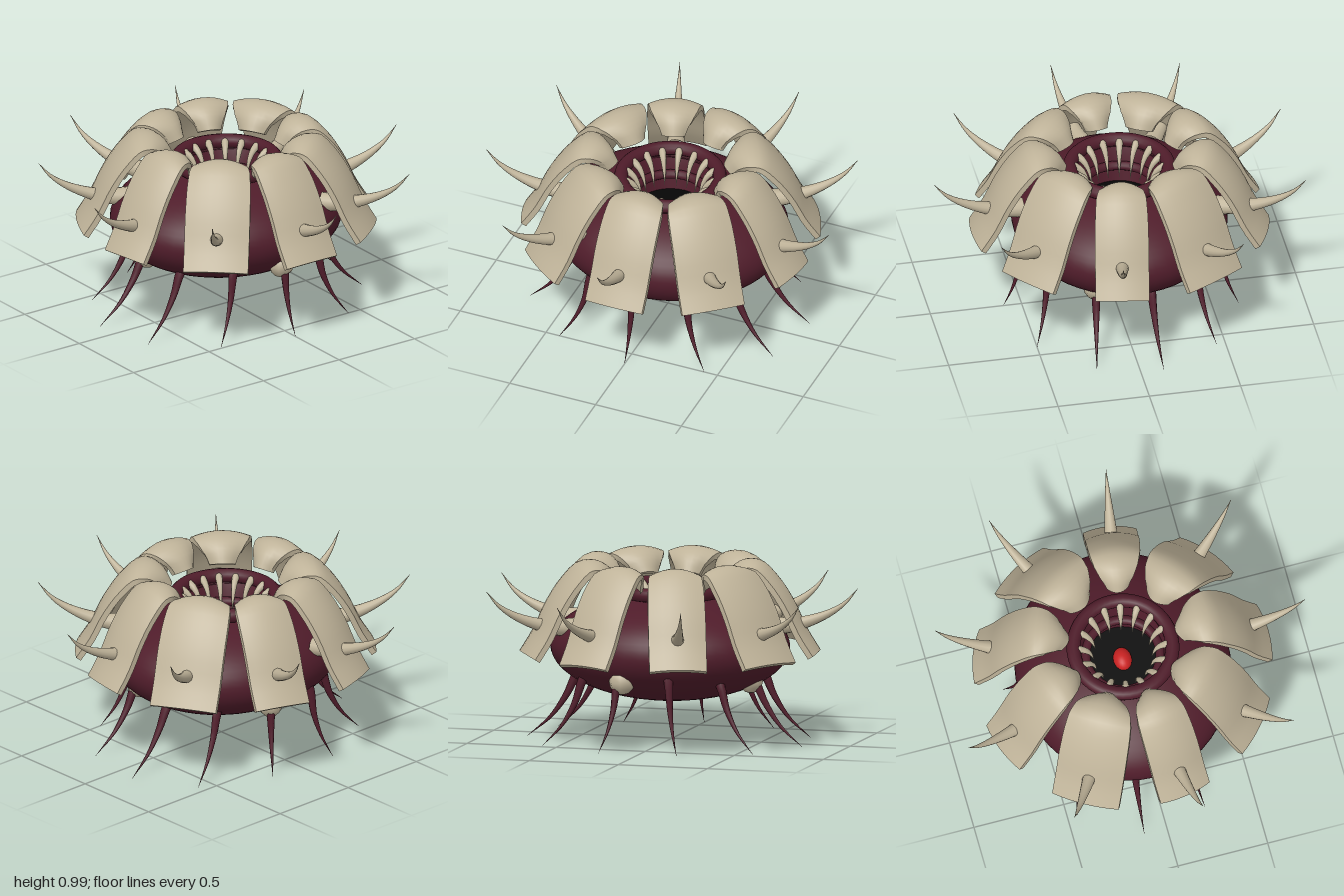
import * as THREE from 'three';
import { toCreasedNormals } from 'three/addons/utils/BufferGeometryUtils.js';

const mat = (name, color, side = THREE.FrontSide) => {
  const m = new THREE.MeshStandardMaterial({ color, side });
  m.name = name;
  return m;
};

// Curved spike: a tube whose rings shrink towards the tip
function spike(points, radius, sides = 10, rings = 14) {
  const curve = new THREE.CatmullRomCurve3(points.map(([x, y]) => new THREE.Vector3(x, y, 0)));
  const geo = new THREE.TubeGeometry(curve, rings, radius, sides);
  const pos = geo.attributes.position;
  const p = new THREE.Vector3();
  for (let i = 0; i <= rings; i++) {
    const c = curve.getPointAt(i / rings);
    const k = Math.max(0.02, 1 - i / rings);
    for (let j = 0; j <= sides; j++) {
      const n = i * (sides + 1) + j;
      p.fromBufferAttribute(pos, n).sub(c).multiplyScalar(k).add(c);
      pos.setXYZ(n, p.x, p.y, p.z);
    }
  }
  return geo;
}

// Hooded armour plate: arched cross-sections swept along an outward-falling profile
function plateGeometry(halfWidth) {
  const profile = new THREE.CatmullRomCurve3([
    [0.29, 0.88], [0.33, 0.95], [0.40, 0.995], [0.49, 0.99], [0.585, 0.90], [0.67, 0.77], [0.74, 0.62], [0.81, 0.505],
  ].map(([x, y]) => new THREE.Vector3(x, y, 0)));
  const widths = [0.4, 0.6, 0.8, 0.92, 0.98, 1, 1, 1];
  const rows = 20, cols = 8, thick = 0.03, loop = 2 * (cols + 1);
  const verts = [], idx = [];
  for (let i = 0; i <= rows; i++) {
    const t = i / rows;
    const c = profile.getPoint(t), d = profile.getTangent(t);
    const f = t * 7, k = Math.min(6, Math.floor(f));
    const w = halfWidth * THREE.MathUtils.lerp(widths[k], widths[k + 1], f - k);
    const sag = THREE.MathUtils.lerp(0.04, 0.025, t);
    for (let j = 0; j < loop; j++) {
      const inner = j > cols;
      const u = (inner ? loop - 1 - j : j) / cols * 2 - 1;
      const off = -sag * u * u - (inner ? thick : 0);
      verts.push(c.x - d.y * off, c.y + d.x * off, u * w);
    }
  }
  for (let i = 0; i < rows; i++) {
    for (let j = 0; j < loop; j++) {
      const a = i * loop + j, b = i * loop + (j + 1) % loop;
      idx.push(a, b, a + loop, b, b + loop, a + loop);
    }
  }
  // End caps
  for (let j = 0; j < cols; j++) {
    const a = j, b = j + 1, c = loop - 1 - j, d = loop - 2 - j, e = rows * loop;
    idx.push(a, c, b, b, c, d, e + a, e + b, e + c, e + b, e + d, e + c);
  }
  const geo = new THREE.BufferGeometry();
  geo.setAttribute('position', new THREE.Float32BufferAttribute(verts, 3));
  geo.setIndex(idx);
  return toCreasedNormals(geo, 0.7);
}

export function createModel() {
  const flesh = mat('maroon flesh', 0x4f1c2a, THREE.DoubleSide);
  const bone = mat('pale bone', 0xbfb399);
  const dark = mat('black throat', 0x060606);
  const red = mat('red core', 0xca2222);

  const model = new THREE.Group();
  model.name = 'spinyCreature';
  const root = new THREE.Group();
  root.name = 'creature';
  root.position.x = -0.035;
  model.add(root);

  const add = (parent, name, geo, material, x = 0, y = 0, z = 0) => {
    const m = new THREE.Mesh(geo, material);
    m.name = name;
    m.position.set(x, y, z);
    parent.add(m);
    return m;
  };
  const spoke = (name, angle, x = 0, z = 0) => {
    const g = new THREE.Group();
    g.name = name;
    g.rotation.y = -angle;
    g.position.set(x, 0, z);
    root.add(g);
    return g;
  };

  // Squashed body, open at the mouth
  const body = add(root, 'body', new THREE.SphereGeometry(1, 48, 28, 0, Math.PI * 2, 0.41, Math.PI - 0.41), flesh, 0, 0.52, 0);
  body.scale.set(0.58, 0.29, 0.65);

  // Mouth: lips, fleshy throat wall, black floor and core
  const ring = (name, R, r, y) => {
    add(root, name, new THREE.TorusGeometry(R, r, 12, 48).rotateX(Math.PI / 2), flesh, 0, y, 0);
  };
  ring('outerLip', 0.266, 0.038, 0.825);
  ring('innerLip', 0.2, 0.025, 0.7);
  const wall = [[0.25, 0.79], [0.23, 0.74], [0.215, 0.68], [0.195, 0.6]];
  add(root, 'throatWall', new THREE.LatheGeometry(wall.map(p => new THREE.Vector2(...p)), 32), flesh);
  add(root, 'throatFloor', new THREE.CircleGeometry(0.2, 32).rotateX(-Math.PI / 2), dark, 0, 0.605, 0);
  add(root, 'core', new THREE.SphereGeometry(1, 20, 14), red, 0, 0.61, -0.01).scale.set(0.05, 0.05, 0.065);

  // Ring of teeth curving down into the mouth
  const toothGeo = spike([[0.235, 0.83], [0.207, 0.81], [0.178, 0.76], [0.155, 0.655]], 0.021, 8, 8);
  const toothRoot = new THREE.SphereGeometry(0.021, 8, 6);
  for (let i = 0; i < 16; i++) {
    const g = spoke('tooth', (i + 0.5) * Math.PI / 8);
    add(g, 'toothSpike', toothGeo, bone);
    add(g, 'toothRoot', toothRoot, bone, 0.235, 0.83, 0);
  }

  // Nine armour plates, each with an upturned horn
  const halfWidths = [0.165, 0.175, 0.145, 0.185, 0.155, 0.155, 0.185, 0.145, 0.175];
  const hornGeo = spike([[0.53, 0.635], [0.64, 0.64], [0.75, 0.665], [0.87, 0.715], [0.95, 0.77], [1.015, 0.845]], 0.053, 12, 18);
  halfWidths.forEach((w, i) => {
    const g = spoke('armour', i * Math.PI * 2 / 9);
    add(g, 'armourPlate', plateGeometry(w), bone);
    add(g, 'horn', hornGeo, bone);
  });

  // Eleven thin legs flaring outward; every third one grows from a bony knob
  const knobGeo = new THREE.SphereGeometry(0.07, 8, 6);
  for (let i = 0; i < 11; i++) {
    const a = i * Math.PI * 2 / 11, c = Math.cos(a), s = Math.sin(a);
    const dx = 0.105 * c, dz = 0.27 * s, reach = Math.hypot(dx, dz);
    const y0 = 0.4 - 0.055 * s * s;
    const g = spoke('leg', Math.atan2(dz, dx), 0.53 * c, 0.51 * s);
    const path = [[-0.2 * reach, y0 + 0.06], [0, y0], [0.2 * reach, 0.24], [0.52 * reach, 0.12], [reach, 0.01]];
    add(g, 'legSpike', spike(path, 0.03, 8), flesh);
    if (i % 3 === 0) add(g, 'legKnob', knobGeo, bone, -0.03, y0 + 0.015 - 0.03 * c * c, 0);
  }
  return model;
}
